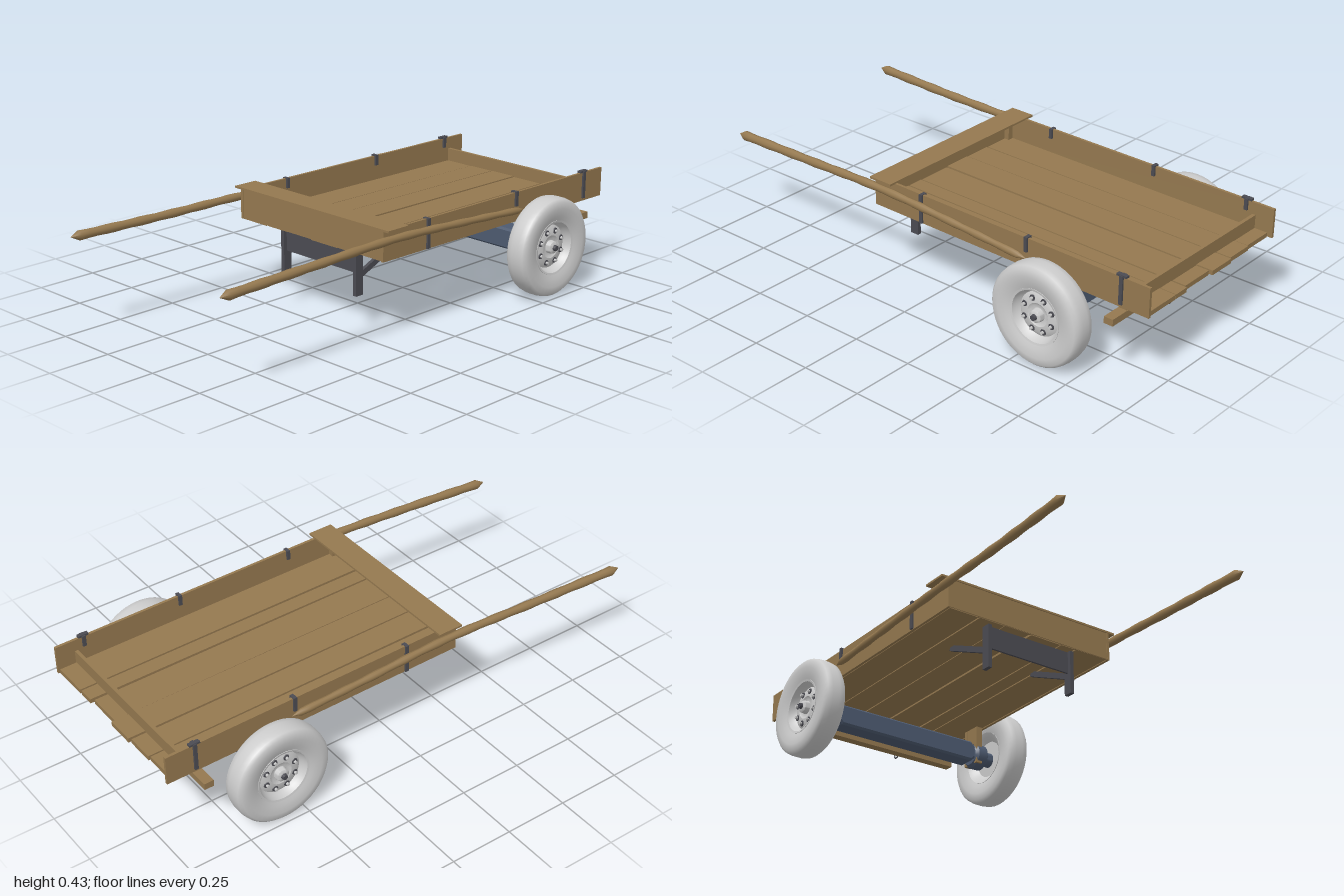
import * as THREE from 'three';
import { toCreasedNormals } from 'three/addons/utils/BufferGeometryUtils.js';

const wood = new THREE.MeshStandardMaterial({ color: 0x94784f });
const steel = new THREE.MeshStandardMaterial({ color: 0x4b4b52 });
const blue = new THREE.MeshStandardMaterial({ color: 0x4d5a70 });
const grey = new THREE.MeshStandardMaterial({ color: 0xcccccc });

function add(parent, name, geometry, material, x = 0, y = 0, z = 0) {
  const mesh = new THREE.Mesh(geometry, material);
  mesh.name = name;
  mesh.position.set(x, y, z);
  parent.add(mesh);
  return mesh;
}

// box given by its limits on each axis
function block(parent, name, mat, x0, x1, y0, y1, z0, z1) {
  return add(parent, name, new THREE.BoxGeometry(x1 - x0, y1 - y0, z1 - z0), mat,
    (x0 + x1) / 2, (y0 + y1) / 2, (z0 + z1) / 2);
}

// turned part whose axis is z
function turned(points, segments = 48) {
  return new THREE.LatheGeometry(points.map(p => new THREE.Vector2(...p)), segments).rotateX(Math.PI / 2);
}

function makeWheel() {
  const wheel = new THREE.Group();
  wheel.name = 'wheel';
  const tyre = [[0.104, -0.036], [0.125, -0.044], [0.155, -0.05], [0.18, -0.047], [0.191, -0.036], [0.195, -0.015],
    [0.195, 0.015], [0.191, 0.036], [0.18, 0.047], [0.155, 0.05], [0.125, 0.044], [0.104, 0.036]];
  add(wheel, 'tyre', turned(tyre), grey);
  const rim = [[0, -0.012], [0.075, -0.012], [0.092, -0.03], [0.108, -0.04], [0.108, 0.04], [0.1, 0.038],
    [0.094, 0.02], [0.085, 0.008], [0.068, 0.018], [0.045, 0.02], [0.036, 0.014], [0.026, 0.014],
    [0.024, 0.034], [0.018, 0.038], [0, 0.038]];
  add(wheel, 'rim', toCreasedNormals(turned(rim), 0.6), grey);
  for (let i = 0; i < 8; i++) {
    const a = (i + 0.5) * Math.PI / 4;
    const x = 0.064 * Math.cos(a), y = 0.064 * Math.sin(a);
    add(wheel, 'lugSeat', new THREE.CylinderGeometry(0.011, 0.012, 0.004, 12).rotateX(Math.PI / 2), steel, x, y, 0.019);
    add(wheel, 'lugNut', new THREE.CylinderGeometry(0.006, 0.006, 0.012, 6).rotateX(Math.PI / 2), grey, x, y, 0.024);
  }
  add(wheel, 'hubCap', new THREE.CylinderGeometry(0.01, 0.012, 0.012, 12).rotateX(Math.PI / 2), steel, 0, 0, 0.043);
  return wheel;
}

// tapered, slightly knotty pole along a curve
function pole(points) {
  const curve = new THREE.CatmullRomCurve3(points.map(p => new THREE.Vector3(...p)));
  const rows = 40, sides = 10;
  const geometry = new THREE.TubeGeometry(curve, rows, 1, sides);
  const pos = geometry.attributes.position;
  const v = new THREE.Vector3();
  for (let i = 0; i < pos.count; i++) {
    const row = Math.floor(i / (sides + 1)), t = row / rows;
    const centre = curve.getPointAt(t);
    const end = row === 0 || row === rows ? 0 : 1;
    const r = end * (0.018 - 0.005 * t + 0.0012 * Math.sin(row * 1.7));
    v.fromBufferAttribute(pos, i).sub(centre).multiplyScalar(r).add(centre);
    pos.setXYZ(i, v.x, v.y, v.z);
  }
  geometry.computeVertexNormals();
  return geometry;
}

export function createModel() {
  const cart = new THREE.Group();
  cart.name = 'handcart';

  // cargo bed, tilted slightly down to the tail
  const bed = new THREE.Group();
  bed.name = 'bed';
  bed.position.set(0.375, 0.31, 0);
  bed.rotation.z = -0.01;
  cart.add(bed);

  // floor planks: z limits and tail end
  const planks = [[-0.365, -0.239, 0.6], [-0.233, -0.122, 0.606], [-0.116, -0.003, 0.614],
    [0.002, 0.14, 0.6], [0.148, 0.21, 0.612], [0.217, 0.362, 0.614]];
  planks.forEach(([z0, z1, end], i) => {
    const plank = block(bed, 'floorPlank', wood, -0.62, end, -0.004, 0.014, z0, z1);
    plank.rotation.y = (i % 2 ? 1 : -1) * 0.0015;
    plank.position.y += (i % 3) * 0.0015;
  });
  for (const s of [-1, 1]) {
    block(bed, 'sideBoard', wood, -0.625, 0.62, -0.002, 0.113, s * 0.371 - 0.0055, s * 0.371 + 0.0055);
    block(bed, 'cornerPost', wood, -0.612, -0.59, 0.01, 0.11, s * 0.353 - 0.012, s * 0.353 + 0.012);
    // iron straps holding sides and poles
    for (const [x, low, high] of [[-0.395, 0, 0.115], [0.095, 0.06, 0.118], [0.505, 0.01, 0.12]]) {
      block(bed, 'strap', steel, x - 0.007, x + 0.007, low, high, s * 0.38 - 0.004, s * 0.38 + 0.004);
      block(bed, 'strapInside', steel, x - 0.007, x + 0.007, 0.075, high, s * 0.362 - 0.004, s * 0.362 + 0.004);
      block(bed, 'strapTop', steel, x - 0.007, x + 0.007, high - 0.006, high, s * 0.371 - 0.013, s * 0.371 + 0.013);
    }
    block(bed, 'strapHead', steel, 0.483, 0.525, 0.114, 0.122, s * 0.372 - 0.008, s * 0.372 + 0.008);
  }
  block(bed, 'headBoard', wood, -0.623, -0.611, 0, 0.113, -0.366, 0.366);
  block(bed, 'headRail', wood, -0.627, -0.525, 0.112, 0.12, -0.407, 0.403);
  block(bed, 'tailBoard', wood, 0.532, 0.546, 0.014, 0.066, -0.365, 0.365);

  // cross beam under the tail
  block(cart, 'tailBeam', wood, 0.836, 0.874, 0.24, 0.266, -0.415, 0.41);
  block(cart, 'tailBeamPacking', wood, 0.839, 0.871, 0.266, 0.306, -0.33, 0.33);

  // tail ring
  add(cart, 'ringStem', new THREE.CylinderGeometry(0.004, 0.004, 0.018, 8), steel, 0.945, 0.299, 0.2);
  add(cart, 'ring', new THREE.TorusGeometry(0.013, 0.003, 8, 20), steel, 0.945, 0.278, 0.2);

  // axle with chamfered ends, drums, hangers
  const section = new THREE.Shape([[-0.33, 0.17], [-0.31, 0.152], [0.31, 0.152], [0.33, 0.17],
    [0.33, 0.217], [0.31, 0.236], [-0.31, 0.236], [-0.33, 0.217]].map(p => new THREE.Vector2(...p)));
  const beam = new THREE.ExtrudeGeometry(section, { depth: 0.064, bevelEnabled: true, bevelThickness: 0.008, bevelSize: 0.008, bevelOffset: -0.008, bevelSegments: 1 });
  beam.translate(0, 0, -0.032).rotateY(Math.PI / 2);
  add(cart, 'axleBeam', beam, blue, 0.59, 0, 0);
  for (const s of [-1, 1]) {
    const drum = [[0, -0.04], [0.04, -0.04], [0.052, -0.028], [0.052, 0.014], [0.03, 0.03], [0.03, 0.07], [0, 0.07]];
    const drumMesh = add(cart, 'brakeDrum', toCreasedNormals(turned(drum, 24), 0.6), blue, 0.59, 0.19, s * 0.368);
    if (s < 0) drumMesh.rotation.y = Math.PI;
    for (const x of [0.557, 0.623])
      block(cart, 'axleHanger', wood, x - 0.008, x + 0.008, 0.15, 0.31, s * 0.346 - 0.014, s * 0.346 + 0.014);
    block(cart, 'axlePad', wood, 0.55, 0.63, 0.236, 0.308, s * 0.345 - 0.012, s * 0.345 + 0.012);
    const wheel = makeWheel();
    wheel.position.set(0.59, 0.197, s * 0.438);
    if (s < 0) wheel.rotation.y = Math.PI;
    cart.add(wheel);
  }

  // front prop stand
  for (const z of [-0.172, 0.21]) {
    block(cart, 'standLeg', steel, -0.226, -0.19, 0.14, 0.314, z - 0.008, z + 0.008);
    const brace = add(cart, 'standBrace', new THREE.BoxGeometry(0.235, 0.022, 0.014), steel, -0.09, 0.264, z);
    brace.rotation.z = Math.atan2(0.09, 0.21);
  }
  block(cart, 'standCrossPlate', steel, -0.212, -0.204, 0.225, 0.312, -0.172, 0.21);

  // pulling poles
  add(cart, 'leftPole', pole([[-1, 0.37, 0.364], [-0.6, 0.385, 0.38], [-0.2, 0.395, 0.39],
    [0.2, 0.375, 0.395], [0.49, 0.357, 0.4]]), wood);
  add(cart, 'rightPole', pole([[-1, 0.394, -0.437], [-0.6, 0.392, -0.415], [-0.2, 0.393, -0.397],
    [0.2, 0.372, -0.392], [0.49, 0.358, -0.388]]), wood);
  return cart;
}
